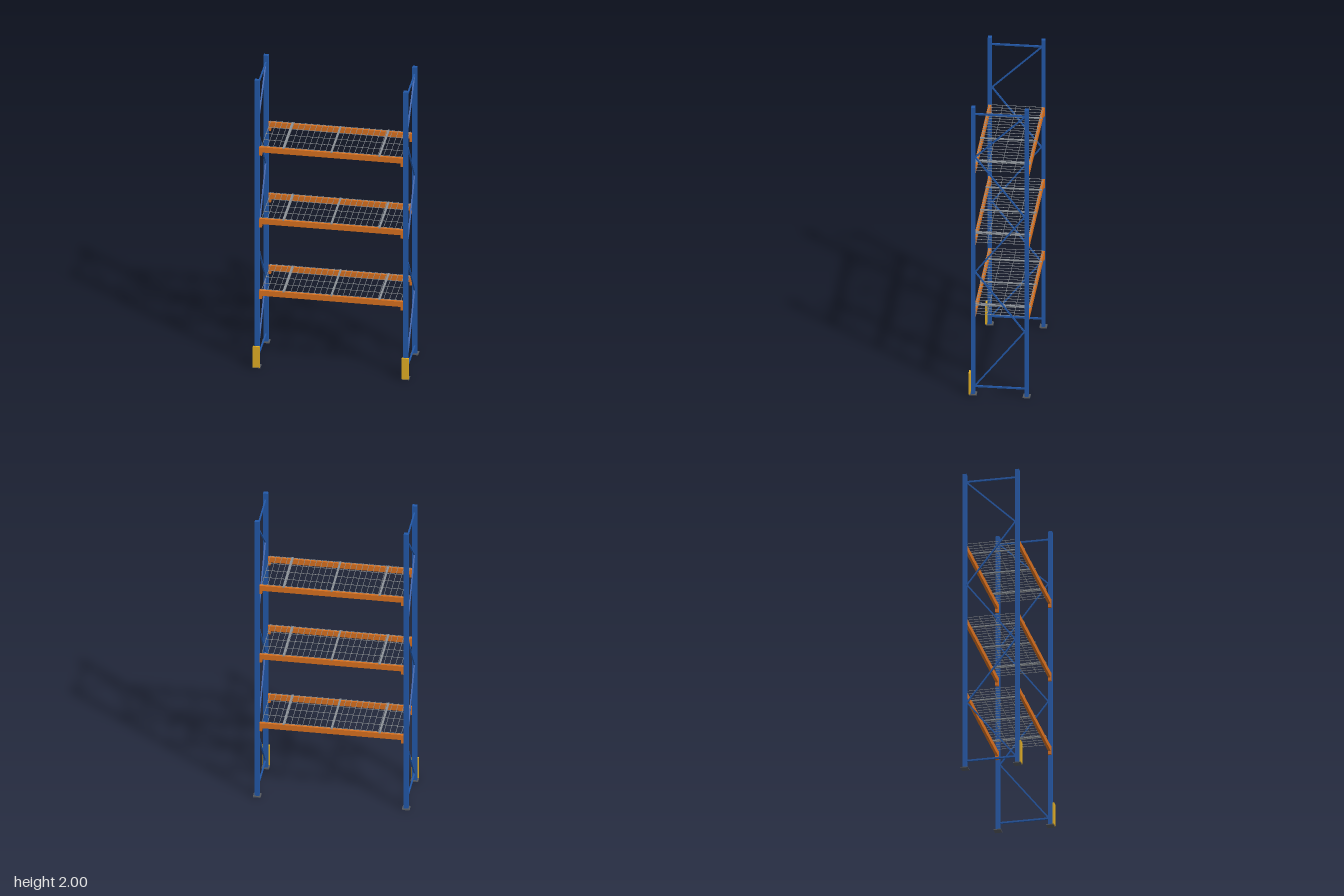
import * as THREE from 'three';

const mat = (color) => new THREE.MeshStandardMaterial({ color });

export function createModel() {
  const rack = new THREE.Group();
  rack.name = 'palletRack';
  const blue = mat(0x2258a8), orange = mat(0xd8701f), yellow = mat(0xe0ad24);
  const dark = mat(0x55585d), steel = mat(0x8c9298), wire = mat(0x8a8e92);

  const POST_X = 0.465, MID_Z = -0.002, HALF_Z = 0.166;
  const FRONT = MID_Z + HALF_Z, BACK = MID_Z - HALF_Z;

  const box = (parent, name, material, w, h, d, x, y, z) => {
    const mesh = new THREE.Mesh(new THREE.BoxGeometry(w, h, d), material);
    mesh.name = name;
    mesh.position.set(x, y, z);
    parent.add(mesh);
    return mesh;
  };

  // Flat bar in the side plane between two (z, y) points
  const brace = (parent, name, x, [z0, y0], [z1, y1], t) => {
    const bar = box(parent, name, blue, 0.009, t, Math.hypot(z1 - z0, y1 - y0),
      x, (y0 + y1) / 2, (z0 + z1) / 2);
    bar.rotation.x = -Math.atan2(y1 - y0, z1 - z0);
  };

  // Upright end frames: posts, feet, guards and zigzag bracing
  for (const side of [-1, 1]) {
    const frame = new THREE.Group();
    frame.name = side > 0 ? 'leftFrame' : 'rightFrame';
    rack.add(frame);
    const x = side * POST_X;
    for (const z of [FRONT, BACK]) {
      box(frame, 'post', blue, 0.03, 1.995, 0.024, x, 1.0025, z);
      box(frame, 'footPlate', dark, 0.048, 0.006, 0.046, x, 0.003, z);
    }
    box(frame, 'postGuard', yellow, 0.045, 0.145, 0.01, x, 0.0785, 0.186);
    for (const y of [0.055, 1.95])
      brace(frame, 'horizontalBrace', x, [BACK + 0.01, y], [FRONT - 0.01, y], 0.011);
    const ys = [0.06, 0.45, 0.85, 1.25, 1.65, 1.945];
    for (let i = 0; i < ys.length - 1; i++) {
      const za = MID_Z + (i % 2 ? -0.153 : 0.153), zb = 2 * MID_Z - za;
      brace(frame, 'diagonalBrace', x, [za, ys[i]], [zb, ys[i + 1]], 0.009);
    }
  }

  // Shelf levels: beams with end connectors, deck supports and wire mesh
  for (const y of [0.5, 1.0, 1.5]) {
    const shelf = new THREE.Group();
    shelf.name = 'shelf';
    shelf.position.y = y;
    rack.add(shelf);
    for (const z of [FRONT, BACK]) {
      box(shelf, 'beam', orange, 0.9, 0.036, 0.016, 0, 0.017, z);
      for (const side of [-1, 1])
        box(shelf, 'beamConnector', orange, 0.016, 0.058, 0.02, side * 0.442, 0.006, z);
    }
    for (const x of [-0.3, 0, 0.3])
      box(shelf, 'deckSupport', steel, 0.012, 0.006, 0.35, x, 0.038, MID_Z);
    for (let i = 0; i <= 24; i++)
      box(shelf, 'crossWire', wire, 0.0025, 0.0025, 0.34, -0.435 + i * 0.03625, 0.0425, MID_Z);
    for (let i = -2; i <= 2; i++)
      box(shelf, 'longWire', wire, 0.88, 0.0025, 0.0025, 0, 0.0405, MID_Z + i * 0.0825);
  }
  return rack;
}
